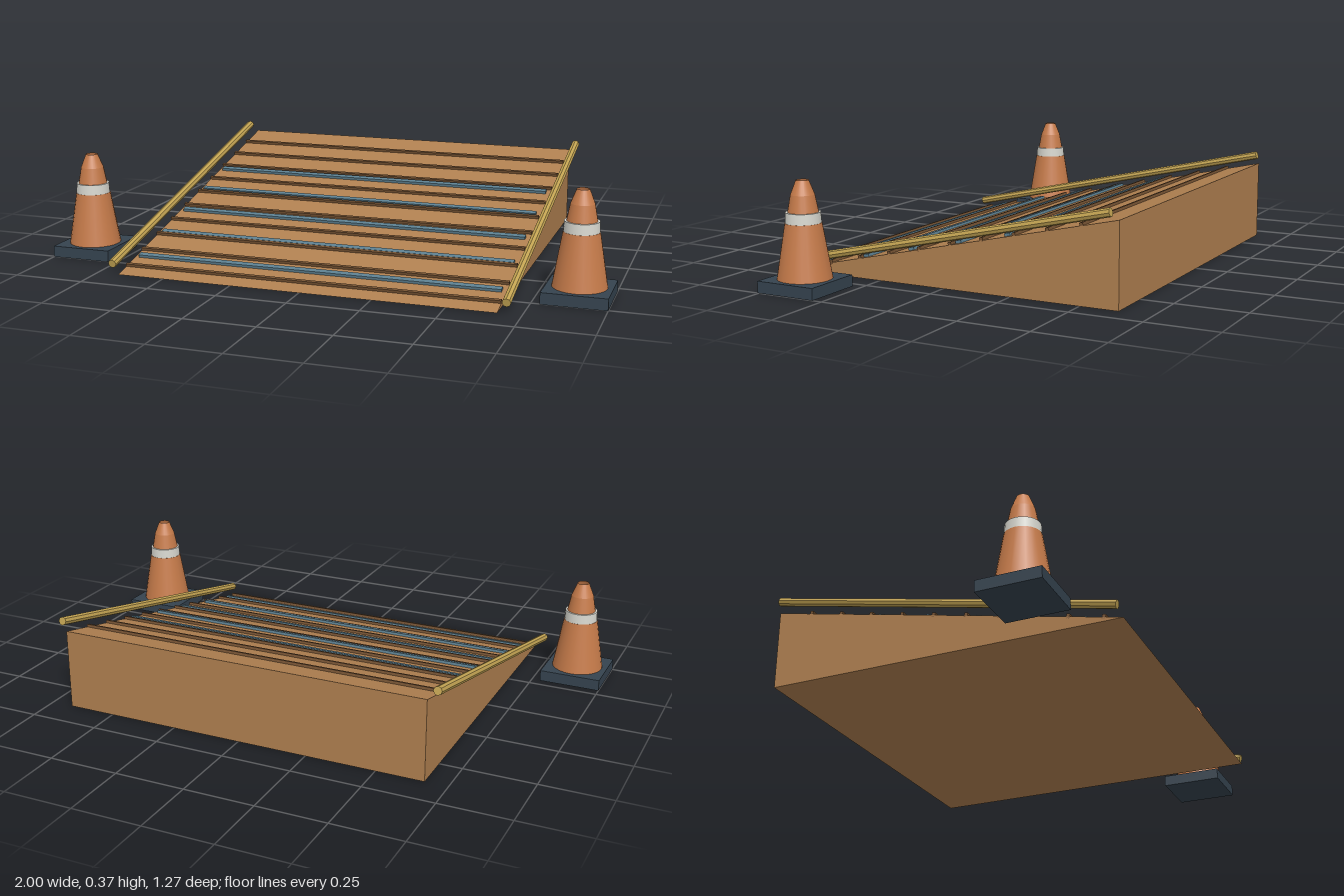
import * as THREE from 'three';

const HALF_W = 0.67, HALF_D = 0.635, RISE = 0.287;
const PITCH = Math.atan2(RISE, 2 * HALF_D);
const rampY = z => RISE * (HALF_D - z) / (2 * HALF_D);

const mat = (color, extra = {}) => Object.assign(new THREE.MeshStandardMaterial({ color }), extra);
const wood = mat(0xb08050);
const darkWood = mat(0x755232);
const gripBlue = mat(0x5c7f90);
const brass = mat(0xc2a352, { flatShading: true });
const orange = mat(0xc67b4a, { side: THREE.DoubleSide });
const white = mat(0xd8d8d0);
const slate = mat(0x35434f);

function add(parent, name, geometry, material, x = 0, y = 0, z = 0) {
  const mesh = new THREE.Mesh(geometry, material);
  mesh.name = name;
  mesh.position.set(x, y, z);
  parent.add(mesh);
  return mesh;
}

// Traffic cone: square foot, flared body, reflective band, open tapered tip
function makeCone() {
  const cone = new THREE.Group();
  add(cone, 'coneFoot', new THREE.BoxGeometry(0.22, 0.04, 0.22), slate, 0, 0.02, 0);
  add(cone, 'coneBody', new THREE.CylinderGeometry(0.061, 0.092, 0.186, 24), orange, 0, 0.133, 0);
  add(cone, 'coneBand', new THREE.CylinderGeometry(0.058, 0.06, 0.037, 24), white, 0, 0.243, 0);
  add(cone, 'coneShoulder', new THREE.CylinderGeometry(0.04, 0.051, 0.058, 24, 1, true), orange, 0, 0.29, 0);
  add(cone, 'coneTip', new THREE.CylinderGeometry(0.021, 0.04, 0.048, 24, 1, true), orange, 0, 0.343, 0);
  return cone;
}

export function createModel() {
  const model = new THREE.Group();
  model.name = 'loadingRamp';

  // Wedge, profiled in depth and height, then extruded across the width
  const profile = new THREE.Shape([
    new THREE.Vector2(HALF_D, 0),
    new THREE.Vector2(-HALF_D, RISE),
    new THREE.Vector2(-HALF_D, 0),
  ]);
  const wedge = new THREE.ExtrudeGeometry(profile, { depth: 2 * HALF_W, bevelEnabled: false });
  wedge.translate(0, 0, -HALF_W).rotateY(-Math.PI / 2);
  add(model, 'rampWedge', wedge, wood);

  // Raised strip lying across the slope
  const strip = (name, width, depth, z, material) => {
    const mesh = add(model, name, new THREE.BoxGeometry(width, 0.016, depth), material, 0, rampY(z) + 0.002, z);
    mesh.rotation.x = PITCH;
  };
  // Plank seams
  for (let i = 0; i < 10; i++) strip('plankSeam', 2 * HALF_W, 0.012, -0.505 + i * 0.1195, darkWood);
  // Grip strips
  for (let i = 0; i < 5; i++) strip('gripStrip', 1.31, 0.021, -0.235 + i * 0.183, gripBlue);

  // Side rails and cones, mirrored
  for (const side of [-1, 1]) {
    const rail = add(model, 'sideRail', new THREE.CylinderGeometry(0.015, 0.015, 1.275, 8), brass, side * 0.697, 0.174, 0.004);
    rail.rotation.x = PITCH - Math.PI / 2;

    const cone = makeCone();
    cone.name = 'trafficCone';
    cone.position.set(side * 0.89, 0, 0.395);
    model.add(cone);
  }
  return model;
}
